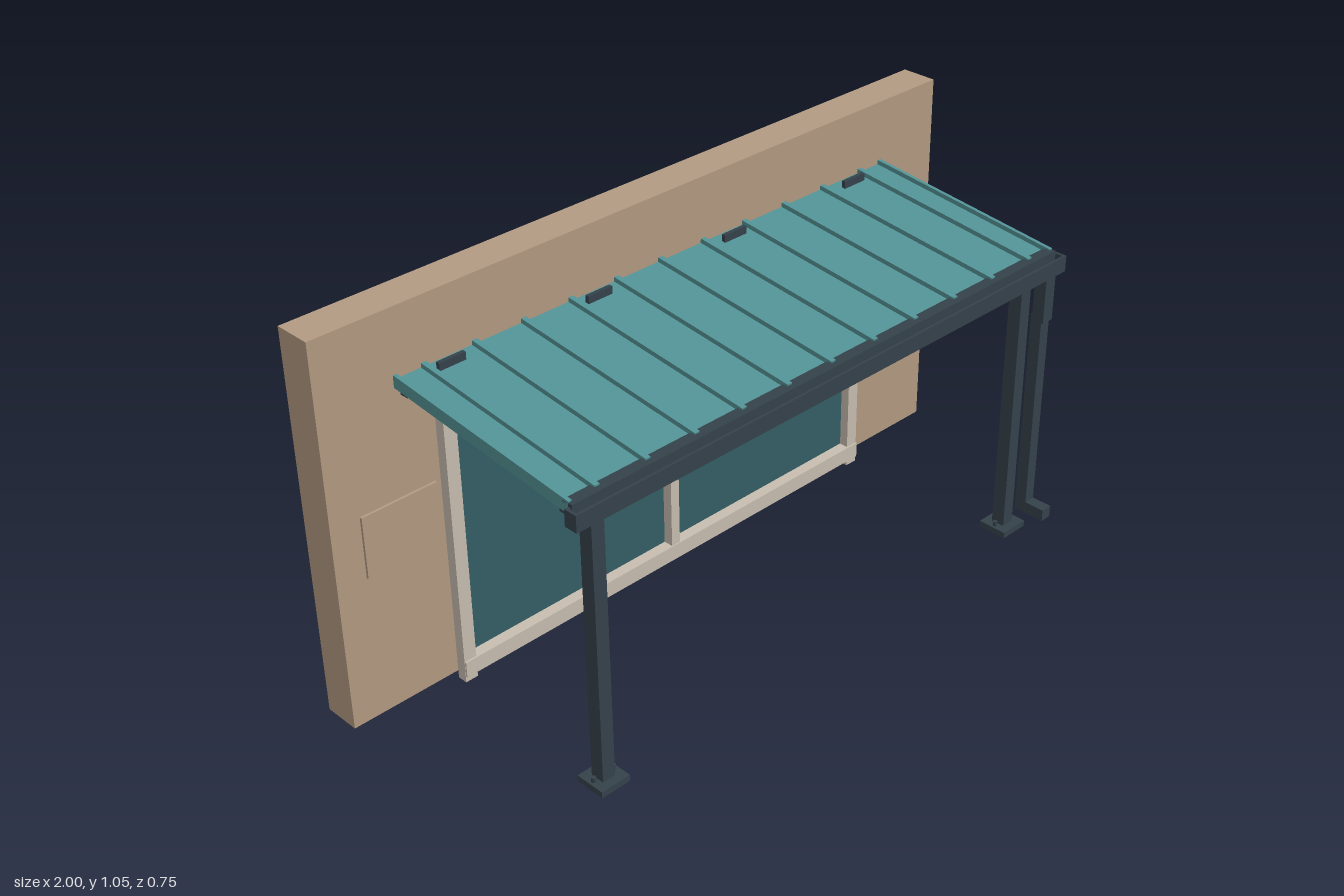
import * as THREE from 'three';

const mat = (name, color, side = THREE.FrontSide) => {
  const m = new THREE.MeshStandardMaterial({ color, side });
  m.name = name;
  return m;
};

export function createModel() {
  const wallTan = mat('wall tan', 0xb39b82);
  const steel = mat('dark steel', 0x35424b);
  const teal = mat('roof teal', 0x539396);
  const glass = mat('tinted glass', 0x355f66);
  const cream = mat('frame cream', 0xc8beb0);
  const lensTan = mat('lamp lens', 0xcdb08c);

  const model = new THREE.Group();
  model.name = 'patioCover';

  // Box given by its minimum and maximum corners
  const box = (name, m, x0, x1, y0, y1, z0, z1, parent = model) => {
    const mesh = new THREE.Mesh(new THREE.BoxGeometry(x1 - x0, y1 - y0, z1 - z0), m);
    mesh.position.set((x0 + x1) / 2, (y0 + y1) / 2, (z0 + z1) / 2);
    mesh.name = name;
    parent.add(mesh);
    return mesh;
  };

  // Extrude a 2D outline whose axes are (z, y) along x, from x0 to x1
  const sideExtrude = (name, m, points, x0, x1, parent = model) => {
    const shape = new THREE.Shape(points.map(([z, y]) => new THREE.Vector2(-z, y)));
    const geo = new THREE.ExtrudeGeometry(shape, { depth: x1 - x0, bevelEnabled: false });
    geo.rotateY(Math.PI / 2);
    const mesh = new THREE.Mesh(geo, m);
    mesh.position.x = x0;
    mesh.name = name;
    parent.add(mesh);
    return mesh;
  };

  // House wall and the shallow panel mounted on it
  box('wall', wallTan, -1, 1, 0.02, 1.05, -0.375, -0.275);
  box('wallPanel', wallTan, -0.92, -0.71, 0.41, 0.575, -0.275, -0.268);

  // Sliding door
  const door = new THREE.Group();
  door.name = 'slidingDoor';
  model.add(door);
  box('glass', glass, -0.67, 0.67, 0.02, 0.76, -0.275, -0.268, door);
  for (const s of [-1, 1]) box('jamb', cream, s * 0.68 - 0.018, s * 0.68 + 0.018, 0.003, 0.792, -0.27, -0.242, door);
  box('header', cream, -0.665, 0.665, 0.755, 0.79, -0.27, -0.243, door);
  box('sill', cream, -0.697, 0.697, 0.02, 0.064, -0.27, -0.237, door);
  box('mullion', cream, -0.014, 0.014, 0.06, 0.757, -0.27, -0.24, door);

  // Sloped roof: panel, standing seams and rafters share one tilted group
  const roof = new THREE.Group();
  roof.name = 'roof';
  roof.position.set(0, 0.845, 0.012);
  roof.rotation.x = 0.104;
  model.add(roof);
  box('roofPanel', teal, -0.795, 0.795, -0.016, 0, -0.289, 0.285, roof);
  for (let i = -5; i <= 5; i++) {
    const x = i * 0.1425;
    box('standingSeam', teal, x - 0.007, x + 0.007, 0, 0.012, -0.289, 0.28, roof);
  }
  for (const s of [-1, 1]) box('edgeTrim', teal, s * 0.79 - 0.005, s * 0.79 + 0.005, -0.02, 0.012, -0.289, 0.285, roof);
  for (let i = -2; i <= 2; i++) {
    const x = i * 0.3565;
    box('rafter', steel, x - 0.016, x + 0.016, -0.04, -0.016, -0.289, 0.28, roof);
  }

  // Ledger on the wall, front beam and eave strip
  box('ledger', steel, -0.78, 0.78, 0.832, 0.857, -0.275, -0.25);
  box('frontBeam', steel, -0.78, 0.78, 0.775, 0.802, 0.25, 0.292);
  box('eaveStrip', steel, -0.795, 0.795, 0.795, 0.824, 0.278, 0.308);

  // Open gutter with end caps
  sideExtrude('gutter', steel, [
    [0.297, 0.815], [0.297, 0.772], [0.333, 0.772], [0.333, 0.815],
    [0.326, 0.815], [0.326, 0.78], [0.304, 0.78], [0.304, 0.815],
  ], -0.805, 0.805);
  for (const s of [-1, 1]) box('gutterCap', steel, s * 0.803 - 0.004, s * 0.803 + 0.004, 0.772, 0.815, 0.297, 0.333);

  // Roof brackets near the wall
  for (const x of [-0.66, -0.225, 0.22, 0.655]) {
    box('roofBracket', steel, x - 0.037, x + 0.037, 0.812, 0.891, -0.249, -0.238);
  }

  // Posts with base plates, bolts and knee braces
  for (const s of [-1, 1]) {
    const cx = s * 0.713;
    const post = new THREE.Group();
    post.name = s > 0 ? 'leftPost' : 'rightPost';
    model.add(post);
    box('post', steel, cx - 0.018, cx + 0.018, 0.03, 0.795, 0.251, 0.289, post);
    box('basePlate', steel, cx - 0.042, cx + 0.042, 0.02, 0.037, 0.23, 0.312, post);
    for (const dx of [-0.03, 0.03]) {
      const bolt = new THREE.Mesh(new THREE.CylinderGeometry(0.006, 0.006, 0.014, 8), steel);
      bolt.position.set(cx + dx, 0.043, 0.271);
      bolt.name = 'anchorBolt';
      post.add(bolt);
    }
    sideExtrude('rafterBrace', steel, [[0.255, 0.738], [0.255, 0.772], [0.17, 0.802], [0.1, 0.806], [0.115, 0.797]],
      cx - 0.012, cx + 0.012, post);
    // Brace along the front beam
    const inner = s * 0.7;
    const tri = new THREE.Shape([
      new THREE.Vector2(inner, 0.735), new THREE.Vector2(inner, 0.776),
      new THREE.Vector2(s * 0.605, 0.776), new THREE.Vector2(s * 0.62, 0.767),
    ]);
    const brace = new THREE.Mesh(new THREE.ExtrudeGeometry(tri, { depth: 0.024, bevelEnabled: false }), steel);
    brace.position.z = 0.256;
    brace.name = 'beamBrace';
    post.add(brace);
  }

  // Downspout beside the left post
  const spout = new THREE.Group();
  spout.name = 'downspout';
  model.add(spout);
  box('upperPipe', steel, 0.741, 0.777, 0.645, 0.785, 0.292, 0.327, spout);
  box('lowerPipe', steel, 0.743, 0.775, 0.072, 0.66, 0.287, 0.32, spout);
  box('outlet', steel, 0.743, 0.775, 0.072, 0.105, 0.29, 0.377, spout);

  // Ceiling lamp under the middle rafter
  box('lampHousing', steel, -0.037, 0.037, 0.781, 0.815, -0.06, 0.014);
  box('lampLens', lensTan, -0.028, 0.028, 0.773, 0.782, -0.051, 0.005);

  return model;
}
